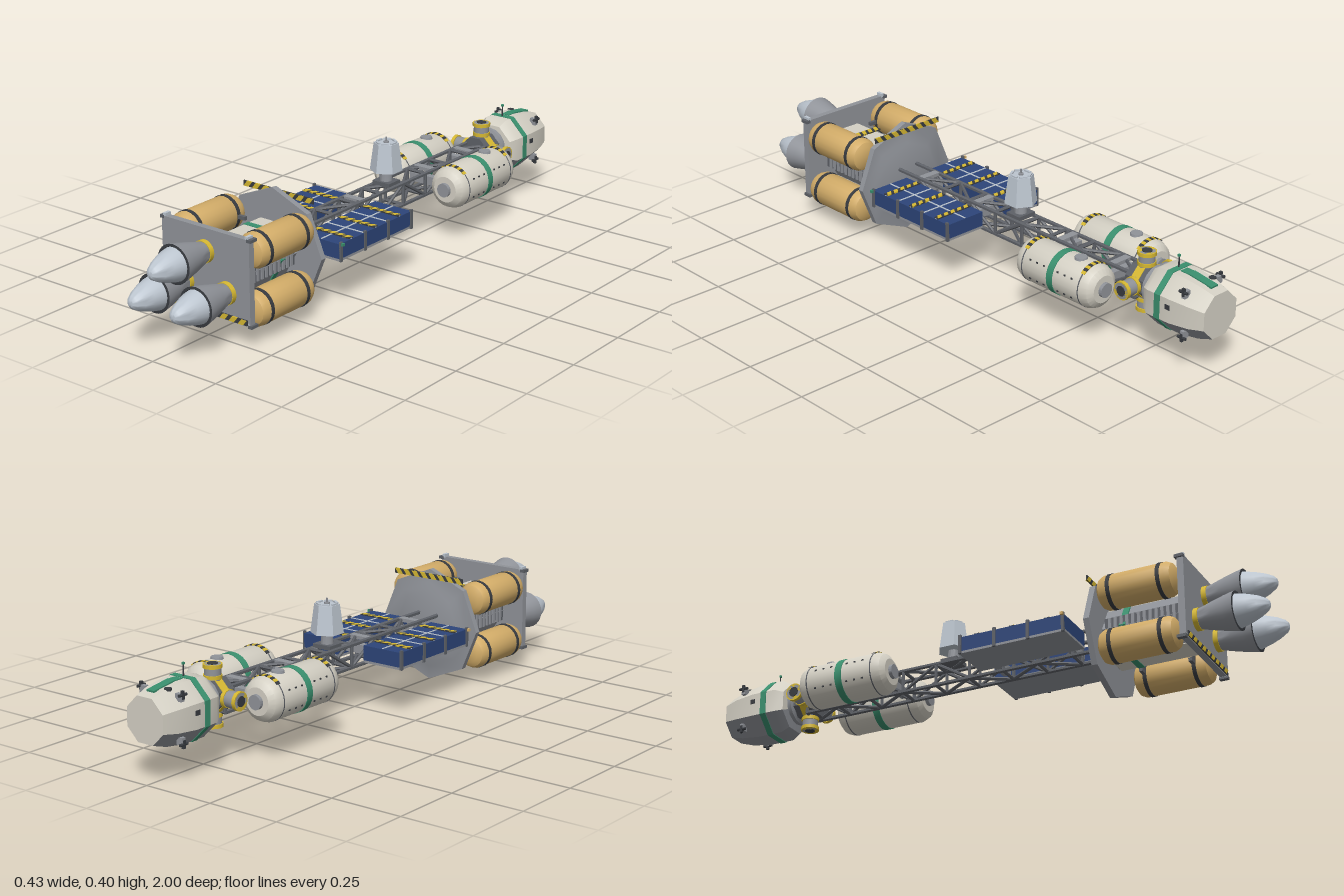
import * as THREE from 'three';
import { toCreasedNormals, mergeGeometries } from 'three/addons/utils/BufferGeometryUtils.js';

const mat = (name, color) => {
  const m = new THREE.MeshStandardMaterial({ color });
  m.name = name;
  return m;
};

export function createModel() {
  const white = mat('hull white', 0xd4d0c4), gold = mat('tank gold', 0xd2ac68);
  const grey = mat('plate grey', 0x909399), steel = mat('truss grey', 0x5e6167);
  const dark = mat('dark trim', 0x383b40), light = mat('light metal', 0xbcc5cf);
  const blue = mat('panel blue', 0x2d4579), green = mat('marking green', 0x3a8f6e);
  const yellow = mat('hazard yellow', 0xd6b832);
  const root = new THREE.Group();
  const Y = 0.197; // height of the spine

  const add = (name, geo, m, x = 0, y = 0, z = 0, parent = root) => {
    const mesh = new THREE.Mesh(toCreasedNormals(geo, 0.6), m);
    mesh.name = name;
    mesh.position.set(x, y, z);
    parent.add(mesh);
    return mesh;
  };
  const group = (name, x = 0, y = 0, z = 0) => {
    const g = new THREE.Group();
    g.name = name;
    g.position.set(x, y, z);
    root.add(g);
    return g;
  };
  const box = (w, h, d) => new THREE.BoxGeometry(w, h, d);
  // Solid of revolution about z; profile is [radius, z] with z rising, angle 0 points down
  const turned = (profile, n = 20, start = 0, sweep = Math.PI * 2) => new THREE.LatheGeometry(
    profile.map(([r, z]) => new THREE.Vector2(r, z)), n, start, sweep).rotateX(Math.PI / 2);
  const drum = (r, len, n = 20, start = 0) => turned([[0, -len / 2], [r, -len / 2], [r, len / 2], [0, len / 2]], n, start);
  const strut = (a, b, r) => {
    const d = b.clone().sub(a);
    const g = new THREE.CylinderGeometry(r, r, d.length(), 6);
    g.applyQuaternion(new THREE.Quaternion().setFromUnitVectors(new THREE.Vector3(0, 1, 0), d.normalize()));
    const c = a.clone().add(b).multiplyScalar(0.5);
    return g.translate(c.x, c.y, c.z);
  };
  // Thin two-sided bar with slanted yellow blocks, lying in xy
  const hazard = (len, h, n, x, y, z, flat = false) => {
    const g = group('hazardStripe', x, y, z);
    add('stripeBase', box(len, h, 0.004), dark, 0, 0, 0, g);
    const p = len / n, s = p * 0.4;
    for (let i = 0; i < n; i++) {
      const x0 = -len / 2 + i * p;
      const shape = new THREE.Shape([[0, -h / 2], [p * 0.58, -h / 2], [p * 0.58 + s, h / 2], [s, h / 2]]
        .map(([u, v]) => new THREE.Vector2(x0 + u, v)));
      add('stripeBlock', new THREE.ExtrudeGeometry(shape, { depth: 0.006, bevelEnabled: false }), yellow, 0, 0, -0.003, g);
    }
    if (flat) g.rotation.x = -Math.PI / 2;
  };

  // Engines: bell, dark inner lip and pointed core
  for (const [x, y] of [[0, 0.28], [-0.085, 0.165], [0.085, 0.165]]) {
    const g = group('engine', x, y, 0);
    add('engineCollar', drum(0.037, 0.018), yellow, 0, 0, 0.763, g);
    add('engineBell', turned([[0.031, 0.755], [0.037, 0.785], [0.047, 0.82], [0.057, 0.86], [0.0645, 0.896]], 24), grey, 0, 0, 0, g);
    add('engineLip', turned([[0.0645, 0.896], [0.056, 0.897], [0.052, 0.885]], 24), dark, 0, 0, 0, g);
    add('engineCore', turned([[0.056, 0.886], [0.053, 0.905], [0.045, 0.935], [0.034, 0.965], [0.021, 0.989], [0.011, 0.998], [0, 1]], 24), light, 0, 0, 0, g);
  }

  // Thrust plate
  add('thrustPlate', box(0.35, 0.28, 0.022), grey, 0, 0.214, 0.745);
  for (const sx of [-1, 1]) for (const y of [0.08, 0.357]) {
    add('cornerLug', box(0.011, 0.013, 0.024), light, sx * 0.165, y, 0.744);
    add('cornerBolt', box(0.016, 0.01, 0.03), steel, sx * 0.174, y - 0.006, 0.742);
  }
  hazard(0.33, 0.018, 9, 0, 0.086, 0.758);

  // Octagonal bulkhead with a stepped back
  add('bulkhead', turned([[0, 0.408], [0.125, 0.408], [0.15, 0.417], [0.195, 0.42], [0.195, 0.44], [0, 0.44]], 8), grey, 0, Y, 0);
  hazard(0.284, 0.018, 8, 0, 0.369, 0.411);

  // Hexagonal engine module with white covers and ribbed flanks
  const H = Math.PI / 6;
  add('coreModule', turned([[0, 0.44], [0.096, 0.44], [0.096, 0.735], [0, 0.735]], 6, H), grey, 0, Y, 0);
  for (const s of [-1, 1]) add('coreCover', box(0.096, 0.004, 0.29), white, 0, Y + s * 0.084, 0.588);
  add('coreBand', turned([[0.097, 0.5], [0.1015, 0.5], [0.1015, 0.522], [0.097, 0.522]], 6, H), green, 0, Y, 0);
  hazard(0.13, 0.025, 5, 0, Y + 0.09, 0.64, true);
  for (const sx of [-1, 1]) {
    add('radiator', box(0.02, 0.07, 0.28), steel, sx * 0.085, Y, 0.59);
    for (let i = 0; i < 13; i++) add('radiatorFin', box(0.012, 0.066, 0.01), grey, sx * 0.094, Y, 0.468 + i * 0.02);
  }

  // Gold propellant tanks
  for (const sx of [-1, 1]) for (const y of [0.107, 0.296]) {
    const g = group('fuelTank', sx * 0.14, y, 0.59);
    add('fuelTankBody', turned([[0, -0.132], [0.033, -0.131], [0.049, -0.122], [0.057, -0.105], [0.057, 0.105],
      [0.049, 0.122], [0.033, 0.131], [0, 0.132]]), gold, 0, 0, 0, g);
    for (const z of [-0.085, 0.085]) {
      add('fuelTankBand', drum(0.0588, 0.013), dark, 0, 0, z, g);
      add('tankStrap', box(0.05, 0.012, 0.012), steel, -sx * 0.06, 0, z, g);
    }
  }

  // Truss spine with zigzag bracing
  const h = 0.038, parts = [], v = (x, y, z) => new THREE.Vector3(x, Y + y, z);
  const corners = [[-h, -h], [h, -h], [h, h], [-h, h]];
  for (let i = 0; i < 4; i++) {
    const [ax, ay] = corners[i], [bx, by] = corners[(i + 1) % 4];
    parts.push(strut(v(ax, ay, 0.42), v(ax, ay, -0.69), 0.0075));
    for (let k = 0; k < 9; k++) {
      const z = 0.31 - k * 0.125;
      parts.push(strut(v(ax, ay, z), v(bx, by, z), 0.006));
      if (k < 8) parts.push((k + (i >> 1)) % 2 ? strut(v(ax, ay, z), v(bx, by, z - 0.125), 0.006)
        : strut(v(bx, by, z), v(ax, ay, z - 0.125), 0.006));
    }
  }
  add('trussSpine', mergeGeometries(parts), steel);
  for (const z of [0.3, 0.03, -0.36, -0.59]) {
    add('trussBracket', box(0.13, 0.03, 0.025), grey, 0, Y, z);
    add('trussSaddle', box(0.08, 0.012, 0.025), grey, 0, Y + h, z);
  }

  // Solar arrays
  for (const sx of [-1, 1]) {
    const g = group('solarArray', sx * 0.126, 0, 0.17);
    add('solarBody', box(0.15, 0.05, 0.376), blue, 0, 0.2, 0, g);
    add('solarTray', box(0.15, 0.008, 0.376), grey, 0, 0.171, 0, g);
    add('solarGridLine', box(0.005, 0.004, 0.37), light, 0, 0.225, 0, g);
    for (let i = 1; i < 6; i++) add('solarGridLine', box(0.148, 0.004, 0.005), light, 0, 0.225, -0.188 + i * 0.0627, g);
    for (const z of [-0.125, 0, 0.125]) hazard(0.144, 0.017, 5, sx * 0.126, 0.227, 0.17 + z, true);
    for (const z of [-0.183, -0.06, 0.06, 0.183])
      add('solarPost', box(0.008, 0.066, 0.01), steel, sx * 0.076, 0.199, z, g);
    add('navigationLight', box(0.009, 0.009, 0.009), sx > 0 ? green : gold, sx * 0.084, 0.225, 0.183, g);
  }

  // Sensor turret: stem and hexagonal housing
  const turret = group('sensorTurret', 0, 0, -0.145);
  add('turretBase', box(0.07, 0.014, 0.06), steel, 0, 0.245, 0, turret);
  add('turretStem', new THREE.CylinderGeometry(0.018, 0.022, 0.05, 12), grey, 0, 0.268, 0, turret);
  add('turretHousing', new THREE.CylinderGeometry(0.042, 0.055, 0.096, 6), light, 0, 0.336, 0, turret);
  for (let i = 0; i < 6; i++) {
    const a = (i + 0.5) * Math.PI / 3;
    add('turretPad', box(0.026, 0.006, 0.008), light, Math.sin(a) * 0.03, 0.386, Math.cos(a) * 0.03, turret).rotation.y = a;
  }
  add('turretLens', new THREE.CylinderGeometry(0.009, 0.009, 0.006, 12), grey, 0, 0.386, 0, turret);
  add('turretMast', new THREE.CylinderGeometry(0.003, 0.003, 0.018, 6), grey, 0, 0.394, 0, turret);

  // White cargo tanks
  for (const sx of [-1, 1]) {
    const g = group('cargoTank', sx * 0.124, Y, -0.475);
    add('cargoBody', turned([[0, -0.165], [0.045, -0.165], [0.064, -0.152], [0.073, -0.13], [0.073, 0.13],
      [0.064, 0.152], [0.045, 0.165], [0, 0.165]], 24), white, 0, 0, 0, g);
    add('cargoGreenBand', drum(0.0748, 0.025, 24), green, 0, 0, 0, g);
    for (const z of [-0.122, 0.122]) {
      add('cargoRing', drum(0.0738, 0.004, 24), steel, 0, 0, z, g);
      for (let i = 0; i < 10; i++) // arched hazard blocks over the top
        add('cargoHazard', new THREE.CylinderGeometry(0.0758, 0.0758, 0.015, 2, 1, false, Math.PI - 0.75 + i * 0.15, 0.15)
          .rotateX(Math.PI / 2), i % 2 ? dark : yellow, 0, 0, z, g);
    }
    for (const z of [-0.168, 0.168]) add('cargoHub', drum(0.024, 0.018), grey, 0, 0, z, g);
    add('cargoHatch', new THREE.CylinderGeometry(0.02, 0.022, 0.008, 12), grey, 0, 0.074, -0.066, g);
    for (const z of [-0.09, -0.06, -0.03, 0.03, 0.06, 0.09]) for (const s of [-1, 1])
      add('cargoWindow', box(0.005, 0.005, 0.007), dark, sx * 0.0645, s * 0.032, z, g);
  }

  // Docking node with four ports
  const node = group('dockingNode', 0, 0.21, -0.7);
  const T = Math.PI / 8;
  add('nodeBody', drum(0.056, 0.08, 8, T), steel, 0, 0, 0, node);
  add('nodeBand', drum(0.058, 0.03, 8, T), yellow, 0, 0, 0, node);
  add('nodeNeck', turned([[0.05, -0.062], [0.066, -0.055], [0.066, -0.042], [0.05, -0.036]], 16), grey, 0, 0, 0, node);
  for (let i = 0; i < 4; i++) {
    const port = new THREE.Group();
    port.name = 'dockingPort';
    port.rotation.z = i * Math.PI / 2;
    node.add(port);
    const ring = (name, r, len, y, m) => add(name, new THREE.CylinderGeometry(r, r, len, 12), m, 0, y, 0, port);
    const reach = i === 1 || i === 3 ? 0.112 : 0.1; // side ports reach further out
    ring('portTunnel', 0.027, reach - 0.04, (reach + 0.04) / 2, grey);
    ring('portInnerRing', 0.03, 0.012, 0.06, yellow);
    ring('portOuterRing', 0.031, 0.012, reach - 0.006, yellow);
    ring('portHatch', 0.017, 0.003, reach + 0.001, dark);
  }

  // Crew capsule: white above, grey on the three lower facets
  const cap = group('crewCapsule', 0, Y + 0.006, 0);
  const hull = [[0, -1], [0.078, -1], [0.094, -0.95], [0.104, -0.88], [0.104, -0.79], [0.086, -0.763], [0, -0.755]];
  add('capsuleHull', turned(hull.slice(1), 5, 3 * T, 10 * T), white, 0, 0, 0, cap);
  add('capsuleBelly', turned(hull.slice(1), 3, -3 * T, 6 * T), grey, 0, 0, 0, cap);
  add('capsuleNose', turned(hull.slice(0, 2), 8, T), white, 0, 0, 0, cap);
  add('capsuleBand', turned([[0.103, -0.844], [0.1065, -0.844], [0.1065, -0.822], [0.103, -0.822]], 8, T), green, 0, 0, 0, cap);
  add('capsuleStripe', box(0.03, 0.005, 0.034), green, 0, 0.096, -0.868, cap);
  add('capsuleStripeFront', box(0.03, 0.006, 0.092), green, 0, 0.0905, -0.928, cap).rotation.x = -0.14;
  add('capsuleAntenna', new THREE.CylinderGeometry(0.002, 0.003, 0.05, 6), dark, 0, 0.115, -0.83, cap);
  add('capsuleBeacon', box(0.007, 0.007, 0.007), green, 0, 0.137, -0.83, cap);
  add('capsuleWindow', new THREE.CylinderGeometry(0.012, 0.012, 0.008, 10), dark, -0.034, 0.087, -0.935, cap);
  for (const sx of [-1, 1]) {
    for (const sy of [-1, 1]) {
      add('thrusterMount', box(0.024, 0.024, 0.014), grey, sx * 0.072, sy * 0.067, -0.925, cap);
      add('thrusterNozzleZ', drum(0.005, 0.032, 8), dark, sx * 0.083, sy * 0.076, -0.925, cap);
      add('thrusterNozzleY', box(0.009, 0.026, 0.009), dark, sx * 0.083, sy * 0.076, -0.925, cap);
    }
    add('sideWindow', box(0.006, 0.016, 0.018), dark, sx * 0.095, 0.012, -0.875, cap);
  }
  return root;
}
